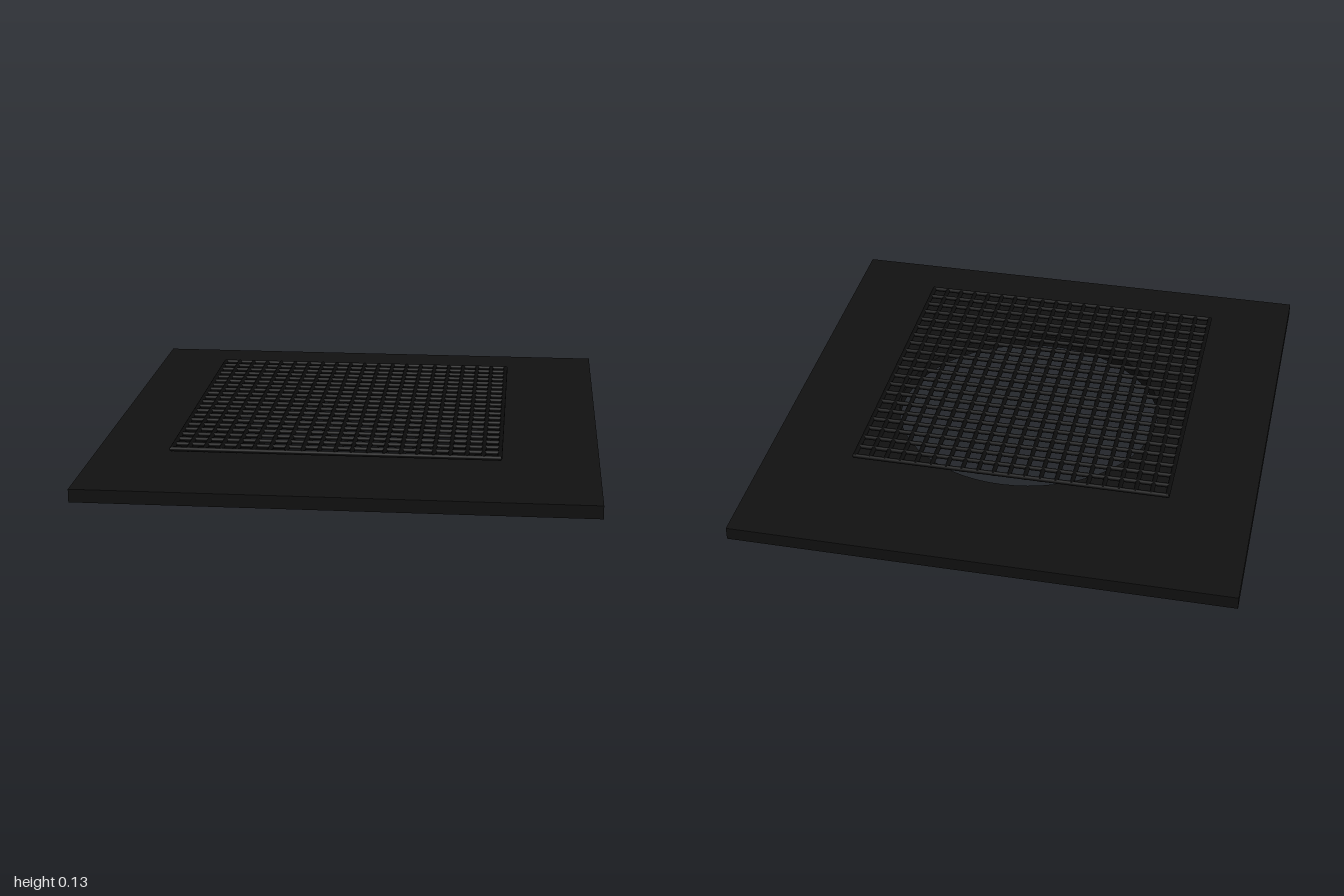
import * as THREE from 'three';

export function createModel() {
  const group = new THREE.Group();
  const plateMat = new THREE.MeshStandardMaterial({ color: 0x111111 });
  const gridMat = new THREE.MeshStandardMaterial({ color: 0x0a0a0a });

  // Flat plate with a round opening
  const outline = new THREE.Shape([
    new THREE.Vector2(-0.96, -1), new THREE.Vector2(0.96, -1),
    new THREE.Vector2(0.96, 1), new THREE.Vector2(-0.96, 1),
  ]);
  const opening = new THREE.Path();
  opening.absarc(0.013, 0, 0.527, 0, Math.PI * 2, true);
  outline.holes.push(opening);
  const plateGeo = new THREE.ExtrudeGeometry(outline, { depth: 0.05, bevelEnabled: false, curveSegments: 32 });
  plateGeo.rotateX(-Math.PI / 2);
  const plate = new THREE.Mesh(plateGeo, plateMat);
  plate.name = 'plate';
  group.add(plate);

  // Wire grate floating above the opening: 21 round bars each way
  const grate = new THREE.Group();
  grate.name = 'grate';
  grate.position.set(-0.024, 0.117, 0.075);
  const count = 21, radius = 0.009, width = 1.222, depth = 1.254;
  const crossGeo = new THREE.CylinderGeometry(radius, radius, width + radius, 12).rotateZ(Math.PI / 2);
  const longGeo = new THREE.CylinderGeometry(radius, radius, depth + radius, 12).rotateX(Math.PI / 2);
  for (let i = 0; i < count; i++) {
    const t = i / (count - 1) - 0.5;
    const cross = new THREE.Mesh(crossGeo, gridMat);
    cross.name = 'crossBar';
    cross.position.z = t * depth;
    const long = new THREE.Mesh(longGeo, gridMat);
    long.name = 'longBar';
    long.position.x = t * width;
    grate.add(cross, long);
  }
  group.add(grate);
  return group;
}
